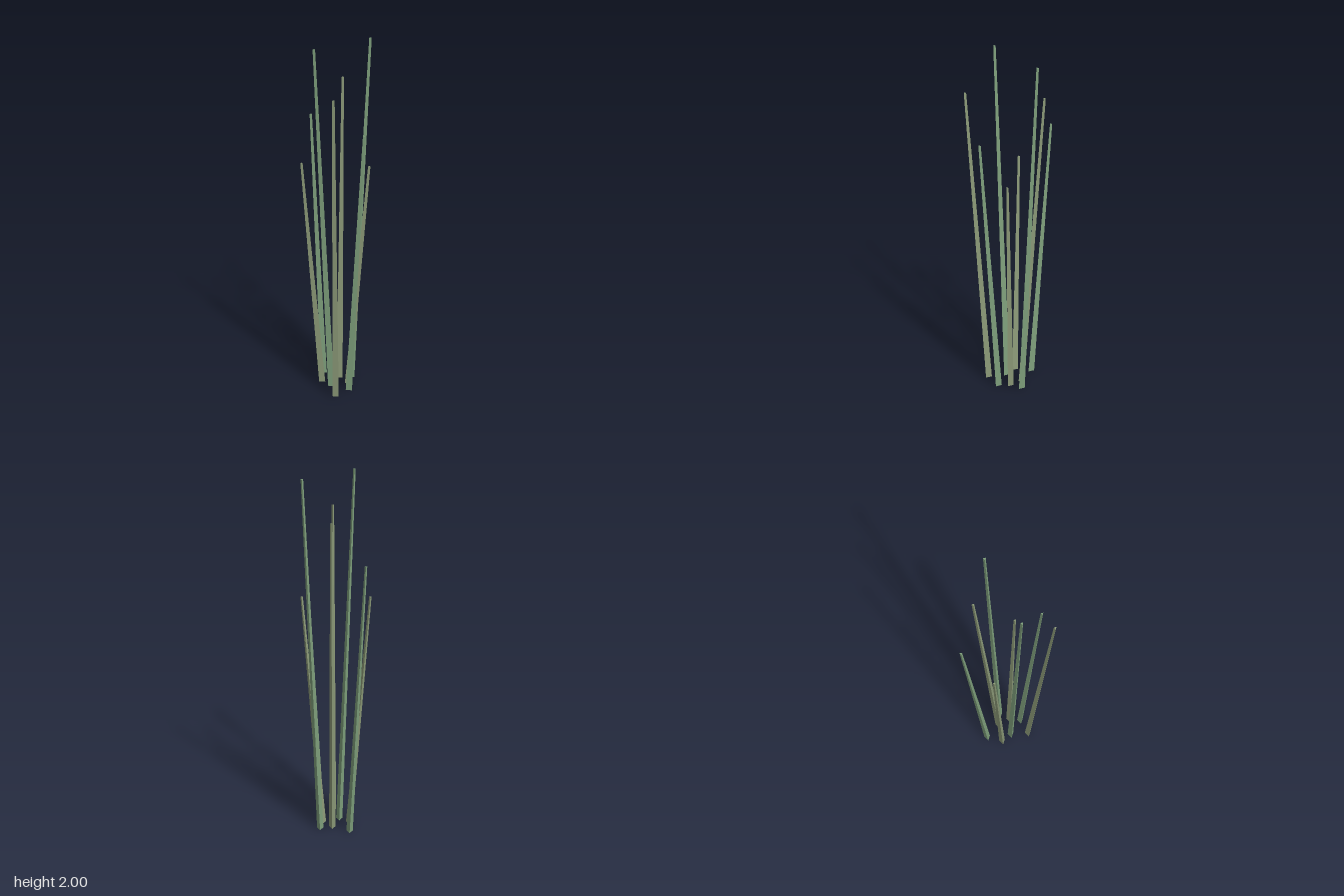
import * as THREE from 'three';

const green = new THREE.MeshStandardMaterial({ color: 0x7fa07c, flatShading: true });
const olive = new THREE.MeshStandardMaterial({ color: 0x8c9a78, flatShading: true });

// Three-sided tapered blade, one edge toward -z, sheared from base centre to tip centre
function makeBlade(name, height, [bx, bz], [tx, tz], material) {
  const geometry = new THREE.CylinderGeometry(0.0073, 0.0208, height, 3, 1, false, Math.PI);
  geometry.translate(0, height / 2, 0);
  const p = geometry.attributes.position;
  for (let i = 0; i < p.count; i++) {
    const t = p.getY(i) / height;
    p.setX(i, p.getX(i) + bx + (tx - bx) * t);
    p.setZ(i, p.getZ(i) + bz + (tz - bz) * t);
  }
  geometry.computeVertexNormals();
  const blade = new THREE.Mesh(geometry, material);
  blade.name = name;
  return blade;
}

export function createModel() {
  const model = new THREE.Group();
  model.name = 'grassTuft';
  // name, height, base [x, z], tip [x, z], material
  const blades = [
    ['frontBlade', 1.785, [0.02, 0.104], [0.02, 0.207], olive],
    ['backBlade', 1.785, [0.02, -0.089], [0.02, -0.193], olive],
    ['leftBlade', 1.355, [0.075, -0.035], [0.179, -0.035], olive],
    ['rightBlade', 1.355, [-0.075, -0.035], [-0.179, -0.035], olive],
    ['frontLeftBlade', 1.57, [0.088, 0.033], [0.163, 0.108], green],
    ['backRightBlade', 1.57, [-0.078, -0.132], [-0.152, -0.207], green],
    ['frontRightBlade', 2, [-0.018, 0.003], [-0.092, 0.077], green],
    ['backLeftBlade', 2, [0.088, -0.102], [0.163, -0.176], green],
  ];
  for (const b of blades) model.add(makeBlade(...b));
  return model;
}
